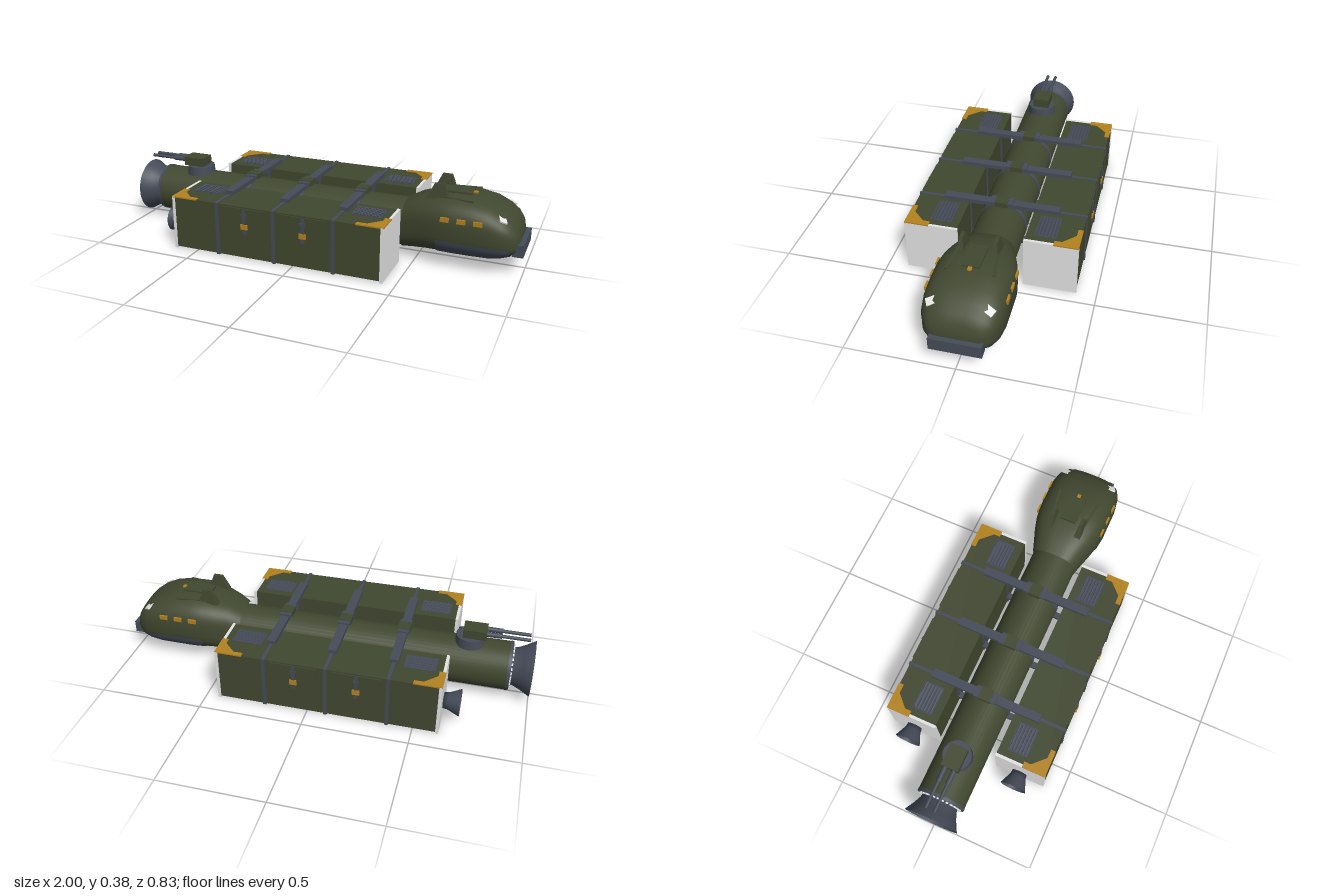
import * as THREE from 'three';
import { mergeVertices } from 'three/addons/utils/BufferGeometryUtils.js';

const mat = (name, color, side = THREE.FrontSide) => {
  const m = new THREE.MeshStandardMaterial({ color, side });
  m.name = name;
  return m;
};

export function createModel() {
  const green = mat('olive hull', 0x414830);
  const grey = mat('blue grey metal', 0x454b58, THREE.DoubleSide);
  const orange = mat('amber trim', 0xb4821f);
  const white = mat('white panel', 0xe4e4e4);
  const blue = mat('engine glow', 0x58b4d4, THREE.DoubleSide);

  const root = new THREE.Group();
  root.name = 'cargoShip';
  const AXIS = 0.148;

  const add = (parent, name, geo, m, x = 0, y = 0, z = 0) => {
    const mesh = new THREE.Mesh(geo, m);
    mesh.name = name;
    mesh.position.set(x, y, z);
    parent.add(mesh);
    return mesh;
  };
  const box = (parent, name, m, x, y, z, w, h, d) =>
    add(parent, name, new THREE.BoxGeometry(w, h, d), m, x, y, z);
  // Cylinder lying along x, with front radius rf and back radius rb
  const tubeX = (parent, name, m, x0, x1, y, z, rb, rf, open = false) => {
    const g = new THREE.CylinderGeometry(rb, rf, x1 - x0, 40, 1, open);
    return add(parent, name, g.rotateZ(Math.PI / 2), m, (x0 + x1) / 2, y, z);
  };
  // Skin over rounded sections [x, bottom, top, halfWidth], from angle a0 to a1
  const loft = (sections, a0, a1, grow = 0, n = 48) => {
    const pos = [], idx = [], e = 2 / 2.8;
    const pw = (v) => Math.sign(v) * Math.abs(v) ** e;
    for (const [x, lo, hi, w] of sections)
      for (let j = 0; j <= n; j++) {
        const t = a0 + (a1 - a0) * j / n;
        pos.push(x, (lo + hi) / 2 + ((hi - lo) / 2 + grow) * pw(Math.sin(t)), (w + grow) * pw(Math.cos(t)));
      }
    for (let i = 0; i < sections.length - 1; i++)
      for (let j = 0; j < n; j++) {
        const a = i * (n + 1) + j, b = a + n + 1;
        idx.push(a, b, a + 1, b, b + 1, a + 1);
      }
    let g = new THREE.BufferGeometry();
    g.setAttribute('position', new THREE.Float32BufferAttribute(pos, 3));
    g.setIndex(idx);
    g = mergeVertices(g, 1e-5);
    g.computeVertexNormals();
    return g;
  };

  // Central hull
  tubeX(root, 'hull', green, -0.9, 0.5, AXIS, 0, 0.117, 0.117);

  // Head
  const head = new THREE.Group();
  head.name = 'head';
  root.add(head);
  const sections = [
    [0.43, 0.035, 0.265, 0.115], [0.49, 0.045, 0.297, 0.135], [0.55, 0.052, 0.316, 0.156],
    [0.61, 0.055, 0.33, 0.172], [0.67, 0.055, 0.336, 0.18], [0.76, 0.055, 0.334, 0.18],
    [0.84, 0.058, 0.317, 0.18], [0.9, 0.068, 0.288, 0.171], [0.94, 0.08, 0.258, 0.152],
    [0.965, 0.092, 0.222, 0.128], [0.977, 0.105, 0.18, 0.095], [0.978, 0.14, 0.142, 0.001],
  ];
  add(head, 'headShell', loft(sections, -Math.PI / 2, Math.PI * 1.5), green);
  add(head, 'bellyPlate', loft(sections.slice(3, 9), -Math.PI * 0.93, -Math.PI * 0.07, 0.003, 32), grey);
  box(head, 'bumper', grey, 0.975, 0.125, 0, 0.05, 0.06, 0.23);
  box(head, 'roofHatch', green, 0.67, 0.336, 0, 0.14, 0.012, 0.08);
  box(head, 'roofLight', orange, 0.75, 0.335, 0, 0.02, 0.012, 0.018);
  const finShape = new THREE.Shape([[0.54, 0.31], [0.645, 0.31], [0.62, 0.383], [0.575, 0.383]]
    .map(([x, y]) => new THREE.Vector2(x, y)));
  for (const s of [1, -1]) {
    // Fin tapers in thickness towards the tip
    const fin = new THREE.ExtrudeGeometry(finShape, { depth: 0.034, bevelEnabled: false }).translate(0, 0, -0.017);
    const p = fin.attributes.position;
    for (let i = 0; i < p.count; i++) if (p.getY(i) > 0.35) p.setZ(i, p.getZ(i) * 0.45);
    fin.computeVertexNormals();
    add(head, 'fin', fin, green, 0, 0, s * 0.076);
    box(head, 'roofRail', green, 0.69, 0.322, s * 0.095, 0.14, 0.012, 0.012).rotation.y = -s * 0.12;
    for (const x of [0.65, 0.725, 0.8])
      box(head, 'sideWindow', orange, x, 0.25, s * 0.176, 0.04, 0.021, 0.009);
    const lamp = box(head, 'headlight', white, 0.897, 0.27, s * 0.118, 0.035, 0.007, 0.055);
    lamp.rotation.set(s * 0.35, s * 0.35, -0.5);
  }

  // Main engine: bell, glowing throat and a ring of white teeth
  const engine = new THREE.Group();
  engine.name = 'mainEngine';
  root.add(engine);
  const bell = [[0.088, 0], [0.092, 0.025], [0.108, 0.06], [0.133, 0.105], [0.123, 0.105], [0.09, 0.04]];
  add(engine, 'bell', new THREE.LatheGeometry(bell.map(([r, y]) => new THREE.Vector2(r, y)), 40)
    .rotateZ(Math.PI / 2), grey, -0.895, AXIS, 0);
  tubeX(engine, 'glow', blue, -0.94, -0.93, AXIS, 0, 0.09, 0.09);
  tubeX(engine, 'collar', grey, -0.9, -0.885, AXIS, 0, 0.118, 0.119);
  for (let i = 0; i < 28; i++) {
    const a = i / 28 * Math.PI * 2;
    box(engine, 'tooth', white, -0.903, AXIS + 0.1 * Math.sin(a), 0.1 * Math.cos(a), 0.008, 0.012, 0.012)
      .rotation.x = -a;
  }

  // Gun turret
  const turret = new THREE.Group();
  turret.name = 'turret';
  root.add(turret);
  add(turret, 'turretBase', new THREE.CylinderGeometry(0.068, 0.072, 0.045, 32), grey, -0.695, 0.273, 0);
  box(turret, 'turretHousing', green, -0.715, 0.317, 0, 0.11, 0.044, 0.085);
  for (const s of [1, -1]) {
    tubeX(turret, 'barrel', grey, -0.97, -0.76, 0.321, s * 0.022, 0.008, 0.008);
    tubeX(turret, 'barrelSleeve', grey, -0.84, -0.76, 0.321, s * 0.022, 0.012, 0.012);
  }

  // Cargo containers, one on each side
  const strapX = [-0.38, -0.09, 0.205];
  for (const s of [1, -1]) {
    const pod = new THREE.Group();
    pod.name = s > 0 ? 'frontContainer' : 'backContainer';
    root.add(pod);
    const Z = s * 0.28;
    box(pod, 'containerBody', green, -0.09, 0.135, Z, 1.04, 0.254, 0.246);
    for (const x of [-0.613, 0.433])
      box(pod, 'endCap', white, x, 0.132, Z, 0.014, 0.264, 0.252);
    for (const x of strapX)
      box(pod, 'strap', grey, x, 0.135, Z, 0.016, 0.262, 0.256);

    // Side hatches with a latch
    for (const x of [-0.235, 0.06]) {
      box(pod, 'hatch', green, x, 0.208, s * 0.405, 0.22, 0.095, 0.008);
      box(pod, 'latchStrap', grey, x, 0.19, s * 0.409, 0.016, 0.12, 0.008);
      box(pod, 'latch', orange, x, 0.167, s * 0.411, 0.034, 0.025, 0.01);
      box(pod, 'hinge', grey, x, 0.225, s * 0.409, 0.026, 0.012, 0.01);
    }

    // Corner trim and roof vents at both ends
    for (const e of [1, -1]) {
      const X = -0.09 + e * 0.53;
      box(pod, 'trimAlong', orange, X - e * 0.065, 0.263, s * 0.394, 0.13, 0.006, 0.024);
      box(pod, 'trimAcross', orange, X - e * 0.014, 0.263, s * 0.348, 0.03, 0.006, 0.114);
      const gusset = new THREE.Shape([new THREE.Vector2(0, 0), new THREE.Vector2(0.075, 0), new THREE.Vector2(0, 0.075)]);
      const g = add(pod, 'trimGusset', new THREE.ExtrudeGeometry(gusset, { depth: 0.005, bevelEnabled: false })
        .rotateX(-Math.PI / 2), orange, X - e * 0.02, 0.26, s * 0.39);
      g.rotation.y = e > 0 ? (s > 0 ? Math.PI / 2 : Math.PI) : (s > 0 ? 0 : -Math.PI / 2);
      const V = -0.09 + e * 0.41;
      box(pod, 'vent', grey, V, 0.262, s * 0.245, 0.145, 0.005, 0.1);
      for (let i = 0; i < 6; i++)
        box(pod, 'louvre', grey, V, 0.266, s * 0.245 - 0.04 + i * 0.016, 0.13, 0.004, 0.007).rotation.x = 0.4;
    }

    // Container thruster
    const thruster = [[0, 0], [0.036, 0], [0.04, 0.025], [0.064, 0.08], [0.057, 0.08], [0.034, 0.03]];
    add(pod, 'thrusterBell', new THREE.LatheGeometry(thruster.map(([r, y]) => new THREE.Vector2(r, y)), 32)
      .rotateZ(Math.PI / 2), grey, -0.618, 0.1, Z);
    tubeX(pod, 'thrusterGlow', blue, -0.655, -0.65, 0.1, Z, 0.037, 0.037);
  }

  // Cross beams joining containers to hull
  for (const x of strapX) {
    box(root, 'crossBeam', grey, x, 0.272, 0, 0.042, 0.02, 0.555);
    box(root, 'beamCap', grey, x, 0.284, 0, 0.056, 0.01, 0.11);
    box(root, 'beamClamp', green, x, 0.279, 0, 0.06, 0.026, 0.06);
    box(root, 'lowerStrut', grey, x, 0.067, 0, 0.03, 0.02, 0.33);
    tubeX(root, 'hullBand', grey, x - 0.01, x + 0.01, AXIS, 0, 0.12, 0.12);
  }
  return root;
}
